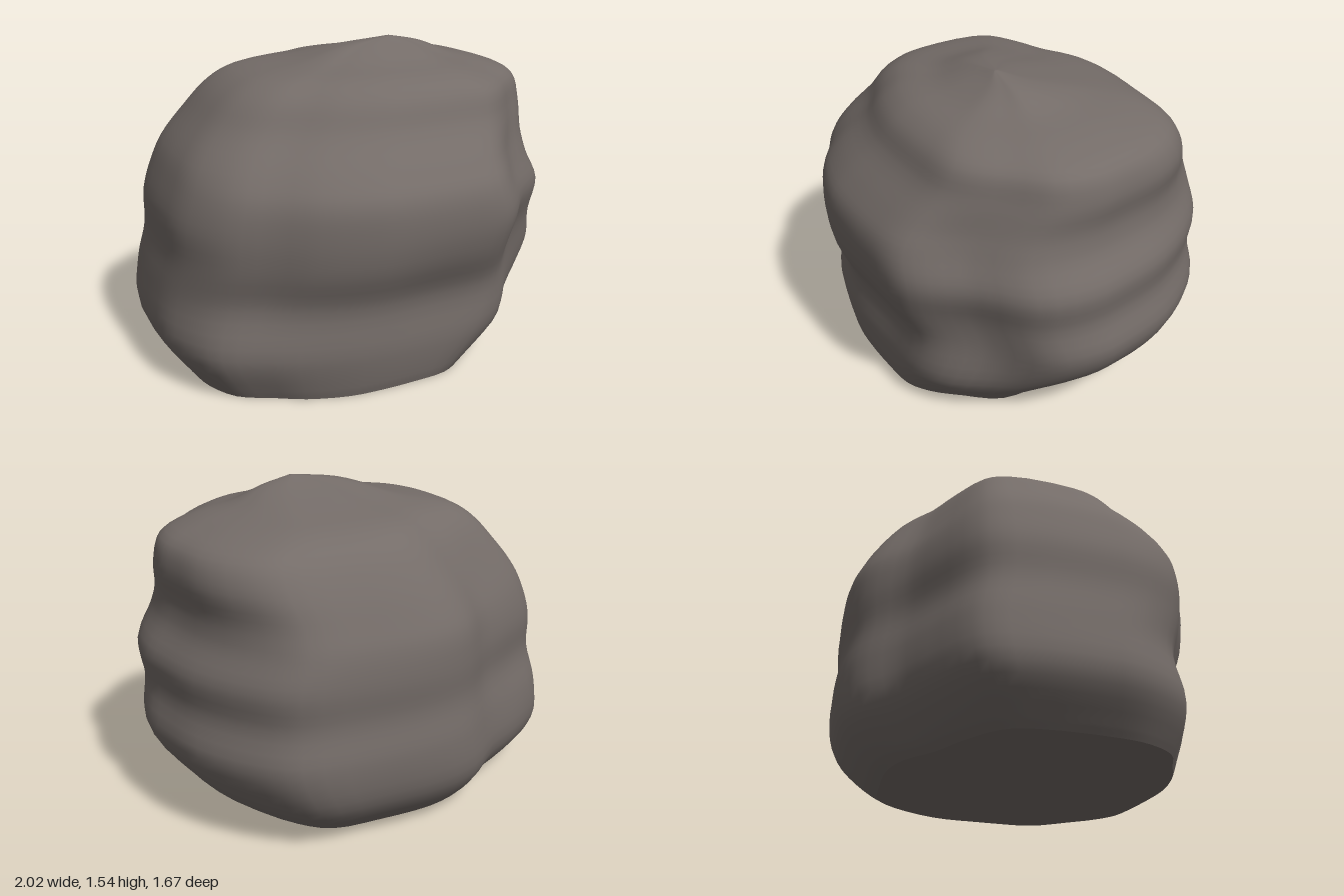
import * as THREE from 'three';

// Plan outline of the boulder (x, z), clockwise seen from above
const OUTLINE = [
  [-1, 0.2], [-1, -0.28], [-0.93, -0.43], [-0.7, -0.57], [-0.48, -0.66], [-0.27, -0.79],
  [-0.05, -0.84], [0.3, -0.82], [0.6, -0.77], [0.76, -0.63], [0.92, -0.35], [0.98, -0.1],
  [1, 0.1], [0.94, 0.34], [0.77, 0.53], [0.62, 0.7], [0.48, 0.79], [0.25, 0.82],
  [0, 0.83], [-0.2, 0.82], [-0.45, 0.75], [-0.63, 0.65], [-0.82, 0.55], [-0.95, 0.38],
];

// Level extents: y, xMin, xMax, zMin, zMax
const LEVELS = [
  [0, -0.85, 0.64, -0.6, 0.7],
  [0.05, -0.89, 0.7, -0.67, 0.715],
  [0.22, -1, 0.88, -0.8, 0.745],
  [0.44, -0.985, 1, -0.83, 0.745],
  [0.63, -0.95, 0.97, -0.805, 0.815],
  [0.8, -0.945, 0.985, -0.815, 0.84],
  [0.95, -0.9, 0.91, -0.8, 0.825],
  [1.06, -0.85, 0.89, -0.755, 0.75],
  [1.2, -0.74, 0.905, -0.68, 0.625],
  [1.32, -0.63, 0.87, -0.59, 0.56],
  [1.39, -0.51, 0.72, -0.48, 0.47],
  [1.44, -0.26, 0.52, -0.27, 0.32],
  [1.5, -0.06, 0.36, -0.01, 0.19],
  [1.535, 0.18, 0.2, 0.11, 0.13],
];

// Soft hollows (+) and bumps (-): centre x, y, z, radius, inward depth
const DENTS = [
  [0.75, 0.5, 0.6, 0.28, 0.07],
  [0.75, 0.08, 0.1, 0.22, 0.06],
  [0.6, 0.2, 0.55, 0.2, -0.04],
  [-0.6, 1.15, -0.6, 0.3, 0.05],
  [-0.7, 0.2, 0.55, 0.22, -0.04],
  [0.2, 0.4, 0.76, 0.28, 0.03],
  [0.65, 0.95, 0.6, 0.2, 0.03],
  [0.8, 1.25, -0.45, 0.22, -0.03],
  [-0.7, 0.55, -0.6, 0.25, 0.03],
];

const AROUND = 72;
const STEPS = 4;

function dent(p) {
  const inward = new THREE.Vector3(-p.x, 0, -p.z).normalize();
  for (const [x, y, z, radius, depth] of DENTS) {
    const d = p.distanceTo(new THREE.Vector3(x, y, z)) / radius;
    p.addScaledVector(inward, depth * Math.exp(-d * d));
  }
  return p;
}

function makeGeometry(points, index) {
  const geometry = new THREE.BufferGeometry().setFromPoints(points);
  geometry.setIndex(index);
  geometry.computeVertexNormals();
  return geometry;
}

export function createModel() {
  const group = new THREE.Group();
  group.name = 'boulder';
  const stone = new THREE.MeshStandardMaterial({ color: 0x746c68 });
  stone.name = 'warm grey stone';

  const plan = new THREE.CatmullRomCurve3(
    OUTLINE.map(([x, z]) => new THREE.Vector3(x, 0, z / 0.835)), true);

  // Vertical splines through the levels form the body
  const rows = (LEVELS.length - 1) * STEPS;
  const points = [];
  for (let j = 0; j < AROUND; j++) {
    const u = plan.getPoint(j / AROUND);
    const column = new THREE.CatmullRomCurve3(LEVELS.map(([y, x0, x1, z0, z1]) =>
      new THREE.Vector3((x0 + x1) / 2 + u.x * (x1 - x0) / 2, y, (z0 + z1) / 2 + u.z * (z1 - z0) / 2)));
    for (let i = 0; i <= rows; i++) {
      const p = column.getPoint(i / rows);
      p.y = Math.max(0, p.y);
      points.push(dent(p));
    }
  }

  const at = (i, j) => (j % AROUND) * (rows + 1) + i;
  const index = [];
  for (let j = 0; j < AROUND; j++) {
    for (let i = 0; i < rows; i++) {
      const a = at(i, j), b = at(i + 1, j), c = at(i, j + 1), d = at(i + 1, j + 1);
      index.push(a, b, c, b, d, c);
    }
  }
  // Close the peak
  const peak = points.push(new THREE.Vector3(0.19, 1.536, 0.12)) - 1;
  for (let j = 0; j < AROUND; j++) index.push(at(rows, j), peak, at(rows, j + 1));

  const body = new THREE.Mesh(makeGeometry(points, index), stone);
  body.name = 'rockBody';
  group.add(body);

  // Flat underside
  const rim = [new THREE.Vector3(-0.1, 0, 0.05)];
  const fan = [];
  for (let j = 0; j < AROUND; j++) {
    rim.push(points[at(0, j)].clone());
    fan.push(0, j + 1, (j + 1) % AROUND + 1);
  }
  const base = new THREE.Mesh(makeGeometry(rim, fan), stone);
  base.name = 'flatUnderside';
  group.add(base);

  return group;
}
